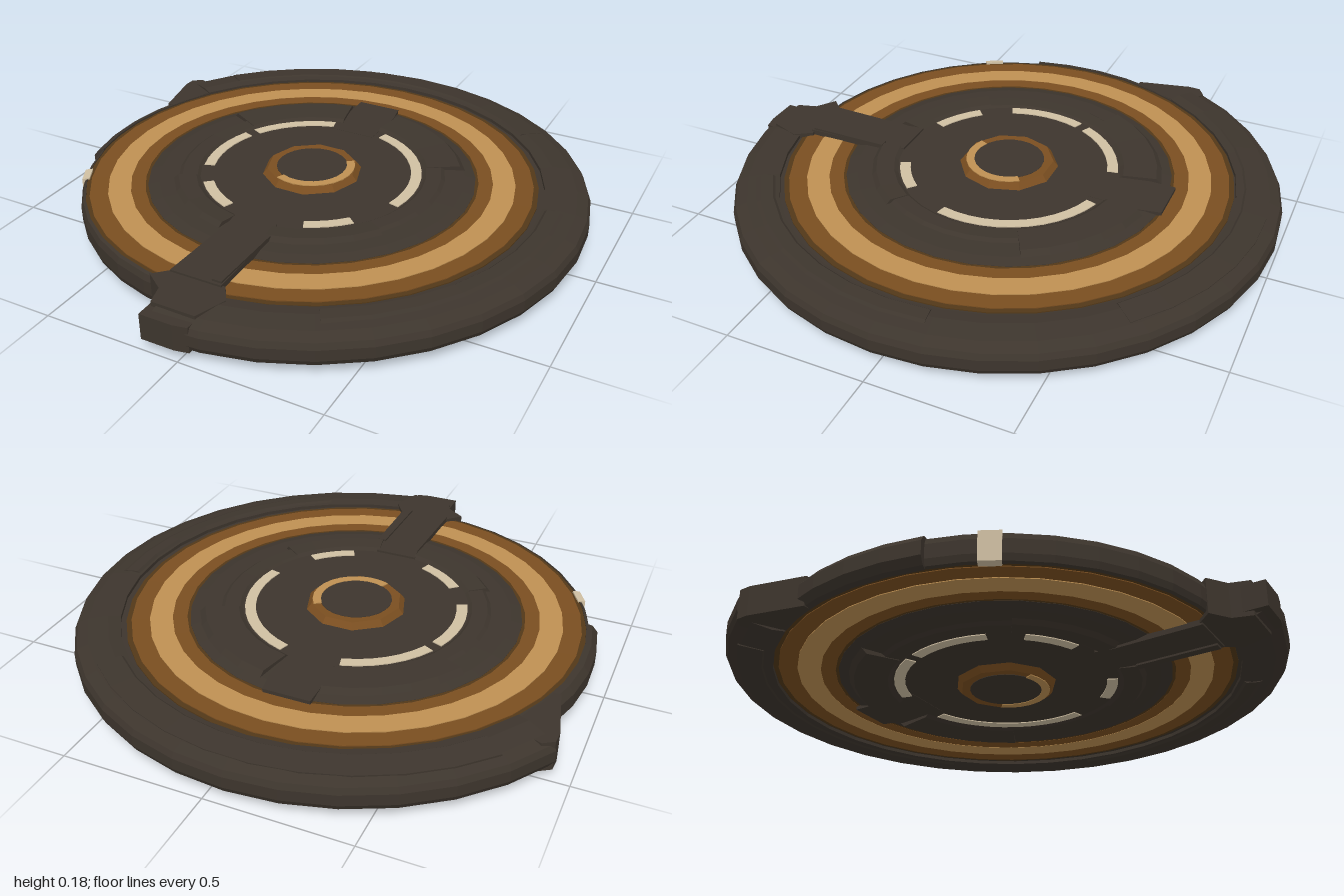
import * as THREE from 'three';
import { mergeGeometries } from 'three/addons/utils/BufferGeometryUtils.js';

const MID = 0.088; // height of the mirror plane
const rad = THREE.MathUtils.degToRad;

function paint(name, color) {
  const m = new THREE.MeshStandardMaterial({ color, flatShading: true, side: THREE.DoubleSide });
  m.name = name;
  return m;
}

// Ring or ring sector, mirrored above and below the middle.
// steps: [radius, half height] from inside out; angles run from +x towards +z.
function arcGeometry(steps, from, to, stepAngle) {
  const below = steps.map(([r, h]) => new THREE.Vector2(r, -h));
  const above = steps.map(([r, h]) => new THREE.Vector2(r, h)).reverse();
  const outline = [...below, ...above];
  const span = to - from;
  const start = rad(90 - to), length = rad(span);
  const segments = Math.max(1, Math.ceil(span / stepAngle));
  const parts = [new THREE.LatheGeometry([...outline, outline[0]], segments, start, length)];
  if (span < 360) {
    for (const phi of [start, start + length]) {
      parts.push(new THREE.ShapeGeometry(new THREE.Shape(outline)).rotateY(phi - Math.PI / 2));
    }
  }
  return mergeGeometries(parts);
}

// Flat plate from an outline in x and z, centred on the middle height
function slabGeometry(points, half) {
  const shape = new THREE.Shape(points.map(([x, z]) => new THREE.Vector2(x, z)));
  return new THREE.ExtrudeGeometry(shape, { depth: half * 2, bevelEnabled: false })
    .rotateX(Math.PI / 2).translate(0, half, 0);
}

export function createModel() {
  const dark = paint('dark metal', 0x3d352d);
  const gold = paint('gold', 0xbe9052);
  const brown = paint('bronze', 0x7a4e20);
  const umber = paint('dark bronze', 0x523818);
  const cream = paint('pale light', 0xcfbfa2);

  const model = new THREE.Group();
  model.name = 'disc';
  const body = new THREE.Group();
  body.name = 'discBody';
  body.position.set(-0.08, MID, 0);
  model.add(body);

  const add = (name, geometry, material) => {
    const mesh = new THREE.Mesh(geometry, material);
    mesh.name = name;
    body.add(mesh);
    return mesh;
  };
  const arc = (name, material, steps, from = 0, to = 360, stepAngle = 10) =>
    add(name, arcGeometry(steps, from, to, stepAngle), material);
  const slab = (name, points, half) => add(name, slabGeometry(points, half), dark);

  // Outer rim: wide for most of the way, narrow along the cut-away side
  const rim = arc('wideRim', dark,
    [[0.835, 0.058], [0.88, 0.063], [0.95, 0.054], [0.99, 0.04], [1, 0.02]], -151, 92, 10.2);
  rim.position.x = 0.012;
  slab('rimEndTaper', [[-0.72, -0.47], [-0.82, -0.51], [-0.858, -0.485], [-0.86, -0.44], [-0.815, -0.24], [-0.785, -0.24], [-0.73, -0.4]], 0.054);
  arc('narrowRim', dark, [[0.822, 0.052], [0.832, 0.047], [0.84, 0.025]], 92, 166, 10);
  arc('narrowRimEnd', dark, [[0.824, 0.055], [0.845, 0.05], [0.865, 0.025]], 165, 210, 10);
  arc('rimPlate', dark, [[0.855, 0.058], [0.865, 0.067], [0.91, 0.064], [0.93, 0.056]], -8, 60, 10);
  arc('rimPlate', dark, [[0.855, 0.058], [0.865, 0.066], [0.95, 0.057]], -140, -47, 10);
  arc('rimLight', cream, [[0.815, 0.056], [0.842, 0.052]], 149, 154);

  // Coloured bands in the groove, each tucked under its neighbour
  arc('outerDarkBand', umber, [[0.8, 0.049], [0.826, 0.049]]);
  arc('rimFooting', dark, [[0.82, 0.045], [0.86, 0.045]], -151, 92);
  arc('outerBronzeBand', brown, [[0.735, 0.05], [0.808, 0.052]]);
  arc('goldBand', gold, [[0.662, 0.053], [0.743, 0.053]]);
  arc('innerBronzeBand', brown, [[0.61, 0.051], [0.67, 0.052]]);
  arc('innerDarkBand', umber, [[0.585, 0.05], [0.614, 0.05]]);

  // Stepped inner disc
  arc('innerDisc', dark, [[0, 0.063], [0.47, 0.063], [0.56, 0.06], [0.6, 0.051]], 0, 360, 12);
  for (const [from, to, r] of [[-79, -28, 0.565], [-152, -101, 0.565], [34, 80, 0.51], [100, 146, 0.51]]) {
    arc('coverPlate', dark, [[0.41, 0.063], [0.425, 0.073], [r - 0.02, 0.077], [r, 0.058]], from, to, 12);
  }
  for (const [from, to] of [[-28, 34], [146, 208]]) {
    arc('sidePlate', dark, [[0.41, 0.063], [0.42, 0.07], [0.475, 0.072], [0.495, 0.058]], from, to, 12);
  }

  // Pale light slots
  for (const [from, to] of [[-73, 14], [-153, -105], [158, 201], [111, 139], [41, 66]]) {
    arc('lightSlot', cream, [[0.364, 0.0665], [0.403, 0.0665]], from, to, 8);
  }

  // Hub
  arc('hubRing', brown, [[0.125, 0.084], [0.165, 0.085], [0.185, 0.06]], 0, 360, 36);
  arc('hubCrescent', gold, [[0.128, 0.088], [0.158, 0.088]], -38, 115, 15);
  arc('hubCap', dark, [[0, 0.086], [0.13, 0.086]], 0, 360, 15);

  // Low bridge at the back and arm reaching through the bands at the front
  slab('backBridge', [[-0.1, -0.61], [0.07, -0.61], [0.085, -0.53], [0.08, -0.34], [-0.1, -0.34]], 0.064);
  slab('frontArm', [[-0.08, 0.4], [0.08, 0.4], [0.1, 0.46], [0.11, 0.79], [-0.08, 0.79], [-0.07, 0.46]], 0.071);
  slab('armRib', [[0.075, 0.48], [0.105, 0.48], [0.105, 0.78], [0.07, 0.78]], 0.078);
  slab('armEnd', [[-0.08, 0.78], [0.12, 0.78], [0.16, 0.84], [0.12, 0.95], [-0.04, 0.95], [-0.06, 0.88], [-0.13, 0.83]], 0.064);
  slab('armTip', [[-0.05, 0.9], [0.12, 0.9], [0.12, 0.99], [0.07, 1], [-0.05, 1]], 0.047);

  return model;
}
